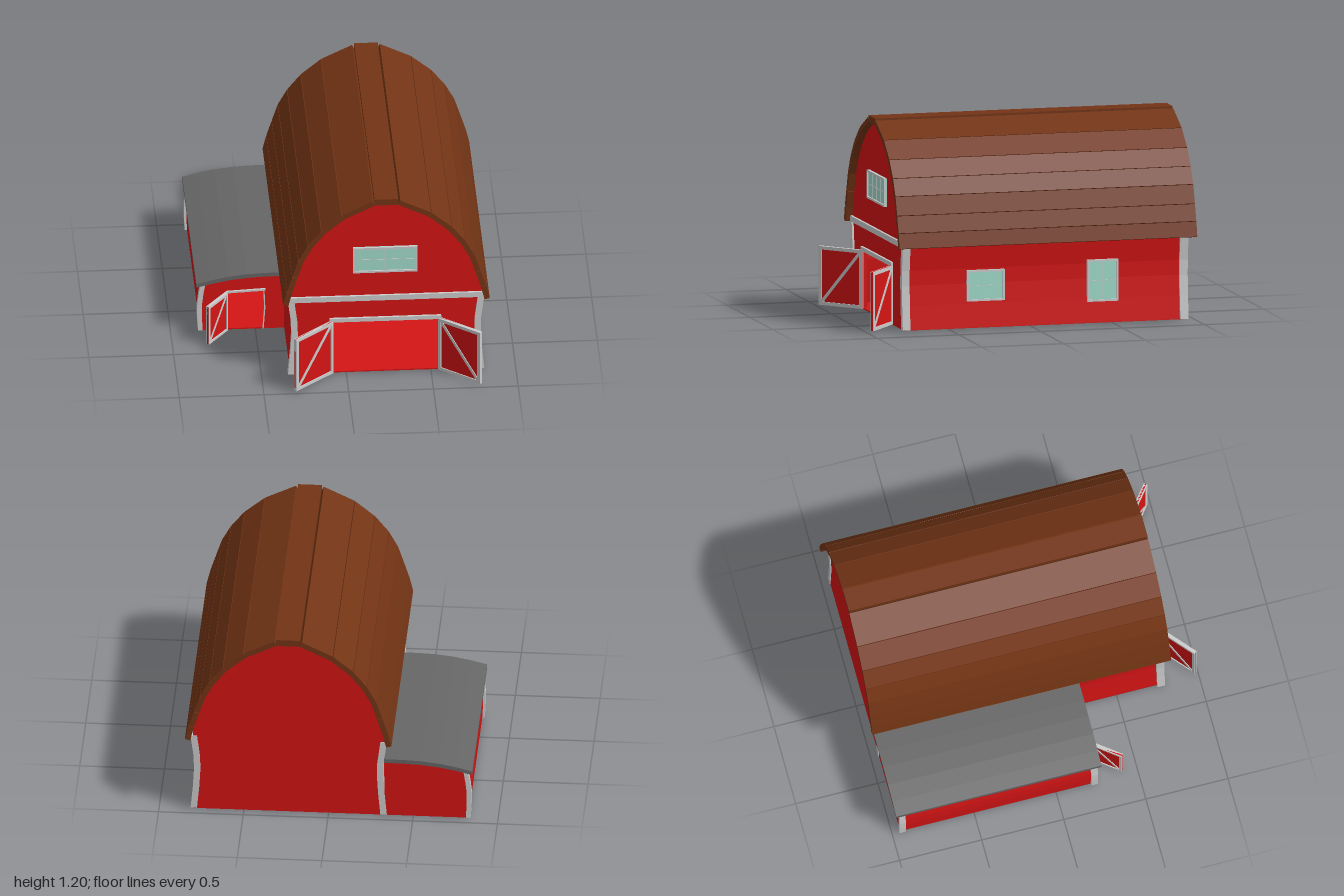
import * as THREE from 'three';

const mat = (color) => new THREE.MeshStandardMaterial({ color, flatShading: true, side: THREE.DoubleSide });
const RED = mat(0xd41414), TRIM = mat(0xcccccc), WOOD = mat(0x733415), SLATE = mat(0x666666);
const GLASS = mat(0xa0dccb), STALL = mat(0x744522);

const CX = 0.235, FRONT = 0.78, BACK = -0.95, SHED_FRONT = 0.24, BASE = 0.01;
// Half profiles measured from the barn's centre line
const ROOF = [[0.61, 0.5], [0.588, 0.59], [0.556, 0.69], [0.52, 0.8], [0.465, 0.9], [0.385, 1.0], [0.265, 1.1], [0.08, 1.19]];
const WALL = [[0.565, BASE], [0.552, 0.15], [0.545, 0.27], [0.547, 0.36], [0.565, 0.5]];
const ARCH = [[0.565, 0.53], [0.552, 0.6], [0.526, 0.69], [0.49, 0.785], [0.438, 0.882], [0.362, 0.976], [0.25, 1.073], [0.07, 1.16]];
const SHED_WALL = [[-0.825, BASE], [-0.83, 0.1], [-0.83, 0.18], [-0.822, 0.25], [-0.81, 0.325]];
const SHED_ROOF = [[-0.85, 0.34], [-0.76, 0.363], [-0.66, 0.383], [-0.55, 0.396], [-0.45, 0.401], [-0.33, 0.402]];

function createModel() {
  const model = new THREE.Group();
  model.name = 'barn';

  const add = (name, geo, material, parent = model) => {
    const m = new THREE.Mesh(geo, material);
    m.name = name;
    parent.add(m);
    return m;
  };
  const box = (name, x0, x1, y0, y1, z0, z1, material, parent) => {
    const m = add(name, new THREE.BoxGeometry(x1 - x0, y1 - y0, z1 - z0), material, parent);
    m.position.set((x0 + x1) / 2, (y0 + y1) / 2, (z0 + z1) / 2);
    return m;
  };
  // Outline in x and y, extruded between two z positions
  const slab = (name, pts, z0, z1, material, parent) => {
    const shape = new THREE.Shape(pts.map(([x, y]) => new THREE.Vector2(x, y)));
    const geo = new THREE.ExtrudeGeometry(shape, { depth: z1 - z0, bevelEnabled: false });
    return add(name, geo.translate(0, 0, z0), material, parent);
  };
  // A curve thickened by an offset
  const band = (pts, dx, dy) => [...pts, ...pts.map(([x, y]) => [x + dx, y + dy]).reverse()];
  const side = (pts, s) => pts.map(([x, y]) => [CX + s * x, y]);

  // Flat bar in the xy plane between two points
  const bar = (name, a, b, w, d, z, parent) => {
    const dx = b[0] - a[0], dy = b[1] - a[1];
    const m = add(name, new THREE.BoxGeometry(Math.hypot(dx, dy), w, d), TRIM, parent);
    m.position.set((a[0] + b[0]) / 2, (a[1] + b[1]) / 2, z);
    m.rotation.z = Math.atan2(dy, dx);
    return m;
  };

  // Floors
  box('barnFloor', CX - 0.56, CX + 0.56, 0.006, 0.014, BACK, FRONT, RED);
  box('shedFloor', -0.825, CX - 0.55, 0.006, 0.014, BACK, SHED_FRONT, RED);

  // Barn end walls, the front one notched for the doorway
  const outline = [...side([...WALL, ...ARCH], 1), ...side([...WALL, ...ARCH].reverse(), -1)];
  const doorway = [[-0.08, BASE], [-0.08, 0.36], [0.545, 0.36], [0.545, BASE]];
  slab('frontWall', [...doorway, ...outline], FRONT - 0.02, FRONT, RED);
  slab('backWall', outline, BACK, BACK + 0.02, RED);

  // Side walls and corner posts
  for (const s of [1, -1]) {
    slab('sideWall', band(side(WALL, s), -s * 0.02, 0), BACK + 0.02, FRONT - 0.02, RED);
    const post = band(side(WALL.map(([x, y]) => [x + 0.014, y]), s), -s * 0.038, 0);
    slab('frontCornerPost', post, FRONT - 0.035, FRONT + 0.012, TRIM);
    slab('backCornerPost', post, BACK - 0.005, BACK + 0.045, TRIM);
  }

  // Roof planks over a thin lining
  const roof = new THREE.Group();
  roof.name = 'roof';
  model.add(roof);
  for (const s of [1, -1]) {
    for (let i = 0; i < ROOF.length - 1; i++) {
      const [a, b] = [ROOF[i], ROOF[i + 1]];
      const len = Math.hypot(b[0] - a[0], b[1] - a[1]);
      const nx = (b[1] - a[1]) / len, ny = (a[0] - b[0]) / len, tx = -ny, ty = nx;
      const g = 0.002, t = 0.032;
      const plank = [
        [a[0] + tx * g, a[1] + ty * g], [b[0] - tx * g, b[1] - ty * g],
        [b[0] - tx * g - nx * t, b[1] - ty * g - ny * t], [a[0] + tx * g - nx * t, a[1] + ty * g - ny * t],
      ];
      slab('roofPlank', side(plank, s), -1, 0.82, WOOD, roof);
    }
  }
  box('ridgePlank', CX - 0.07, CX + 0.07, 1.16, 1.2, -1, 0.82, WOOD, roof);
  const lining = [...side(ARCH, 1), ...side([...ARCH].reverse(), -1)];
  const inner = lining.map(([x, y]) => [CX + (x - CX) * 0.975, y - 0.012]);
  slab('roofLining', [...lining, ...inner.reverse()], BACK + 0.02, FRONT - 0.02, WOOD, roof);

  // Front trim
  box('gableBand', CX - 0.575, CX + 0.57, 0.496, 0.53, FRONT, FRONT + 0.014, TRIM);
  box('doorLintel', -0.1, 0.56, 0.355, 0.38, FRONT, FRONT + 0.014, TRIM);

  // Hinged braced doors, each reaching from its hinge to its free edge
  const door = (name, hinge, free, height, w) => {
    const g = new THREE.Group();
    g.name = name;
    const dx = free[0] - hinge[0], dz = free[1] - hinge[1], L = Math.hypot(dx, dz);
    g.position.set(hinge[0], BASE, hinge[1]);
    g.rotation.y = Math.atan2(-dz, dx);
    box('doorPanel', 0, L, 0, height, -0.005, 0.005, RED, g);
    const h = w / 2, t = 0.022;
    bar('bottomRail', [0, h], [L, h], w, t, 0, g);
    bar('topRail', [0, height - h], [L, height - h], w, t, 0, g);
    bar('hingeStile', [h, 0], [h, height], w, t, 0, g);
    bar('freeStile', [L - h, 0], [L - h, height], w, t, 0, g);
    bar('brace', [w, height - w], [L - w, w], w * 0.9, t * 0.85, 0, g);
    model.add(g);
  };
  door('rightBarnDoor', [-0.082, 0.785], [-0.315, 0.985], 0.35, 0.02);
  door('leftBarnDoor', [0.547, 0.785], [0.783, 0.972], 0.35, 0.02);
  door('shedDoor', [-0.67, 0.25], [-0.793, 0.41], 0.255, 0.015);

  // Windows built facing +z around their centre
  const makeWindow = (name, w, h, cols, rows) => {
    const g = new THREE.Group();
    g.name = name;
    box('pane', -w / 2, w / 2, -h / 2, h / 2, -0.014, 0.004, GLASS, g);
    for (const s of [-1, 1]) {
      bar('frameSide', [s * (w / 2 - 0.006), -h / 2], [s * (w / 2 - 0.006), h / 2], 0.012, 0.026, 0, g);
      bar('frameRail', [-w / 2, s * (h / 2 - 0.006)], [w / 2, s * (h / 2 - 0.006)], 0.012, 0.026, 0, g);
    }
    for (let i = 1; i < cols; i++) {
      const x = -w / 2 + (w * i) / cols;
      bar('muntin', [x, -h / 2], [x, h / 2], i * 2 === cols && cols > 2 ? 0.008 : 0.003, 0.014, 0, g);
    }
    for (let i = 1; i < rows; i++) {
      const y = -h / 2 + (h * i) / rows;
      bar('muntin', [-w / 2, y], [w / 2, y], 0.003, 0.014, 0, g);
    }
    model.add(g);
    return g;
  };
  makeWindow('gableWindow', 0.38, 0.17, 4, 2).position.set(0.23, 0.773, FRONT + 0.004);
  const sideWindows = [[0.28, 0.257, 0.23, 0.185, 2, 2], [-0.435, 0.258, 0.19, 0.25, 2, 2]];
  for (const [z, y, w, h, c, r] of sideWindows) {
    const win = makeWindow('sideWindow', w, h, c, r);
    win.position.set(CX + 0.553, y, z);
    win.rotation.y = Math.PI / 2;
  }

  // Lean-to shed
  const shedTop = SHED_ROOF.slice(1).map(([x, y]) => [x, y - 0.022]);
  const shedSide = [...SHED_WALL].reverse();
  const shedEnd = [[-0.33, BASE], ...shedTop.slice().reverse(), ...shedSide];
  const shedDoorway = [[-0.67, BASE], [-0.67, 0.262], [-0.452, 0.272], [-0.445, 0.15], [-0.455, BASE]];
  slab('shedFrontWall', [...shedEnd, ...shedDoorway], SHED_FRONT - 0.015, SHED_FRONT, RED);
  slab('shedBackWall', shedEnd, BACK, BACK + 0.015, RED);
  slab('shedSideWall', band(SHED_WALL, 0.015, 0), BACK + 0.015, SHED_FRONT - 0.015, RED);
  const shedPost = band(SHED_WALL.map(([x, y]) => [x - 0.014, y]), 0.028, 0);
  slab('shedFrontPost', shedPost, SHED_FRONT - 0.03, SHED_FRONT + 0.01, TRIM);
  slab('shedBackPost', shedPost, BACK - 0.008, BACK + 0.03, TRIM);
  slab('shedRoof', band(SHED_ROOF, 0, -0.025), -0.98, 0.27, SLATE);
  bar('shedLintel', [-0.675, 0.264], [-0.44, 0.275], 0.012, 0.014, SHED_FRONT + 0.005);
  bar('shedJamb', [-0.445, 0.15], [-0.45, 0.275], 0.007, 0.014, SHED_FRONT + 0.003);
  bar('shedJamb', [-0.455, BASE], [-0.445, 0.15], 0.007, 0.014, SHED_FRONT + 0.003);

  // Timber partition and post inside the barn
  slab('stallPartition', [[0.06, 0.002], [0.28, 0.002], [0.285, 0.16], [0.19, 0.21], [0.19, 0.275], [0.29, 0.36],
    [-0.1, 0.36], [-0.1, 0.17], [-0.02, 0.14]], 0.13, 0.17, STALL);
  box('stallPost', -0.03, 0.01, 0, 0.36, -0.88, -0.84, STALL);

  return model;
}

export { createModel };
